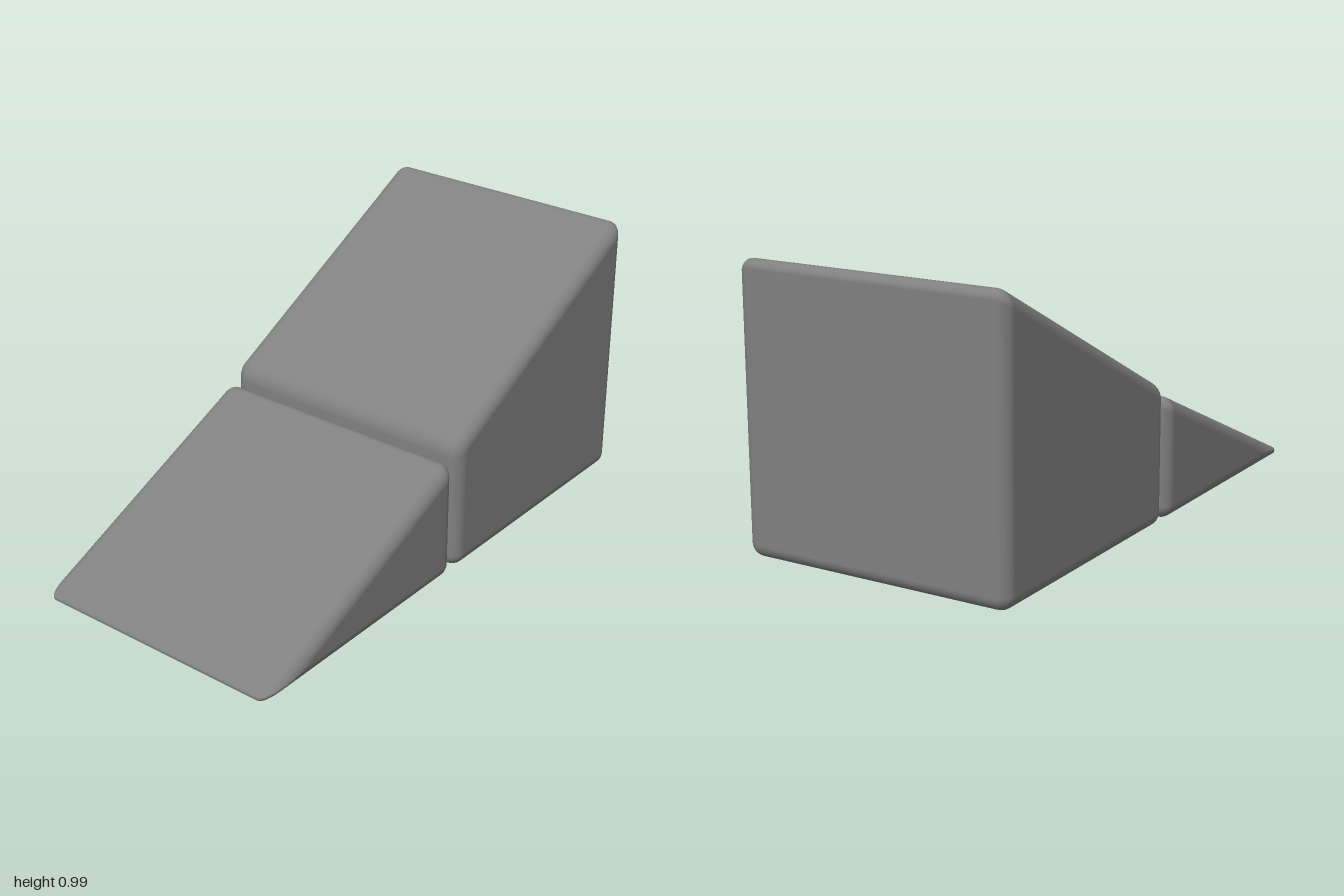
import * as THREE from 'three';

const BEVEL = 0.05, HALF_WIDTH = 0.502, STEPS = 8;

// Side profile (z, y), inset by d, with corners rounded over the remaining bevel.
// Corners run counter-clockwise with z to the right. Returns points with their normals.
function roundedProfile(corners, d) {
  const n = corners.length, out = [];
  const edgeNormal = (a, b) => new THREE.Vector2(b.y - a.y, a.x - b.x).normalize();
  corners.forEach((p, i) => {
    const n1 = edgeNormal(corners[(i + n - 1) % n], p);
    const n2 = edgeNormal(p, corners[(i + 1) % n]);
    const turn = Math.acos(n1.dot(n2));
    const radius = Math.max(0, BEVEL - d) / Math.tan(turn / 2);
    const miter = n1.clone().add(n2).divideScalar(1 + n1.dot(n2));
    const center = p.clone().addScaledVector(miter, -(d + radius));
    const start = Math.atan2(n1.y, n1.x);
    for (let k = 0; k <= STEPS; k++) {
      const a = start + (turn * k) / STEPS;
      const normal = new THREE.Vector2(Math.cos(a), Math.sin(a));
      out.push({ point: center.clone().addScaledVector(normal, radius), normal });
    }
  });
  return out;
}

// Solid swept across x, its sides rounding into flat end faces
function bevelledBlock(name, points) {
  const corners = points.map(([z, y]) => new THREE.Vector2(z, y));
  const positions = [], normals = [], index = [];
  const count = corners.length * (STEPS + 1);
  const rings = 2 * (STEPS + 1);
  for (let i = 0; i < rings; i++) {
    const side = i <= STEPS ? 1 : -1;
    const t = side > 0 ? 1 - i / STEPS : (i - STEPS - 1) / STEPS;
    const phi = (t * Math.PI) / 2;
    const x = side * (HALF_WIDTH - BEVEL + BEVEL * Math.sin(phi));
    for (const { point, normal } of roundedProfile(corners, BEVEL * (1 - Math.cos(phi)))) {
      positions.push(x, point.y, point.x);
      normals.push(side * Math.sin(phi), normal.y * Math.cos(phi), normal.x * Math.cos(phi));
    }
  }
  // skin between neighbouring rings
  for (let i = 0; i < rings - 1; i++) {
    for (let j = 0; j < count; j++) {
      const a = i * count + j, b = i * count + ((j + 1) % count);
      index.push(a, b, b + count, a, b + count, a + count);
    }
  }
  // flat end faces
  const last = (rings - 1) * count;
  for (let j = 1; j < count - 1; j++) {
    index.push(0, j + 1, j, last, last + j, last + j + 1);
  }
  const geometry = new THREE.BufferGeometry();
  geometry.setAttribute('position', new THREE.Float32BufferAttribute(positions, 3));
  geometry.setAttribute('normal', new THREE.Float32BufferAttribute(normals, 3));
  geometry.setIndex(index);
  const mesh = new THREE.Mesh(geometry, new THREE.MeshStandardMaterial({ color: 0x808080 }));
  mesh.name = name;
  return mesh;
}

export function createModel() {
  const group = new THREE.Group();
  group.name = 'twoPieceRamp';
  group.add(
    // low wedge running down to a thin front edge
    bevelledBlock('frontWedge', [[0.024, 0], [1.039, 0], [0.024, 0.454]]),
    // tall block with a sloping top
    bevelledBlock('rearSlopedBlock', [[-1, 0], [0.006, 0], [0.006, 0.487], [-1, 1.01]]),
  );
  return group;
}
